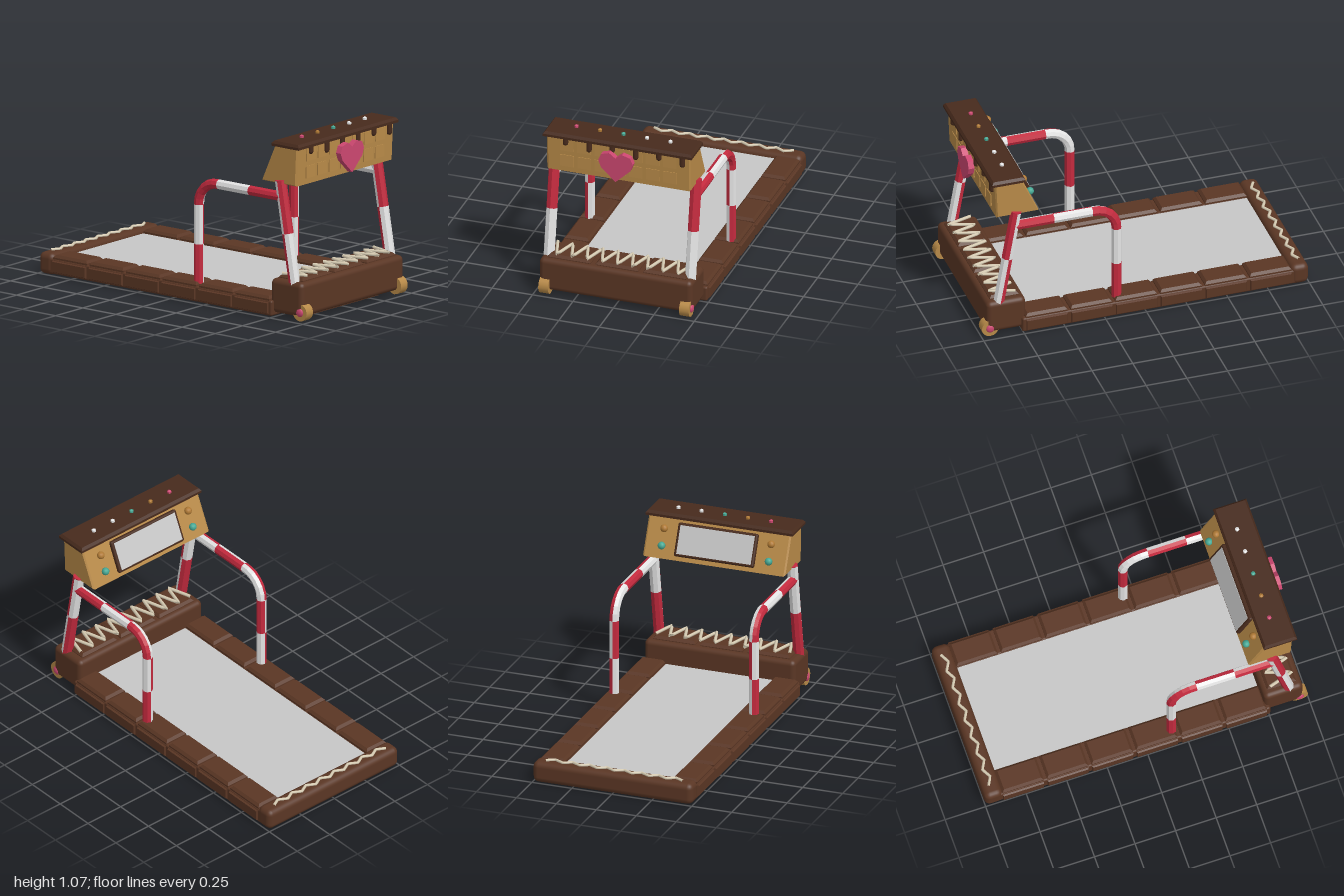
import * as THREE from 'three';
import { RoundedBoxGeometry } from 'three/addons/geometries/RoundedBoxGeometry.js';

const V = (x, y, z) => new THREE.Vector3(x, y, z);

export function createModel() {
  const root = new THREE.Group();
  root.name = 'candyTreadmill';
  const paint = (name, color) => {
    const m = new THREE.MeshStandardMaterial({ color });
    m.name = name;
    return m;
  };
  const chocolate = paint('chocolate', 0x5a3624);
  const darkChocolate = paint('dark chocolate', 0x472a1c);
  const biscuit = paint('biscuit', 0xb88a48);
  const red = paint('candy red', 0xc42a3e);
  const white = paint('candy white', 0xe4e4e4);
  const pink = paint('pink sugar', 0xcc4770);
  const teal = paint('teal sugar', 0x45a894);
  const amber = paint('amber sugar', 0xb07a35);
  const grey = paint('belt grey', 0xc6c6c6);
  const icing = paint('icing cream', 0xd8cdb4);

  const add = (name, geo, mat, x = 0, y = 0, z = 0, parent = root) => {
    const m = new THREE.Mesh(geo, mat);
    m.name = name;
    m.position.set(x, y, z);
    parent.add(m);
    return m;
  };

  // Box whose top face is drawn in by an inset, like a chocolate piece
  const piece = (w, h, d, inset) => {
    const g = new THREE.BoxGeometry(w, h, d, 1, 2, 1);
    const p = g.attributes.position;
    for (let i = 0; i < p.count; i++) {
      if (p.getY(i) < h * 0.25) continue;
      p.setX(i, p.getX(i) - Math.sign(p.getX(i)) * inset);
      p.setZ(i, p.getZ(i) - Math.sign(p.getZ(i)) * inset);
    }
    const flat = g.toNonIndexed();
    flat.computeVertexNormals();
    return flat;
  };

  // Striped candy cane: the two halves around the axis carry opposite stripes
  const cane = (name, curve, radius, rings, stripes, side, first) => {
    const sides = 8;
    const g = new THREE.TubeGeometry(curve, rings, radius, sides).toNonIndexed();
    g.computeVertexNormals();
    g.clearGroups();
    const n = g.attributes.normal;
    for (let k = 0; k < rings * sides; k++) {
      const facing = V(n.getX(k * 6), n.getY(k * 6), n.getZ(k * 6)).dot(side) > -0.01 ? 0 : 1;
      const stripe = Math.floor((Math.floor(k / sides) / rings) * stripes);
      g.addGroup(k * 6, 6, (stripe + facing + first) % 2);
    }
    return add(name, g, [red, white]);
  };

  // Zigzag of piped icing running along z
  const zigzag = (name, x, y, halfWidth, halfLength, count, radius) => {
    const pts = [];
    for (let i = 0; i <= count; i++)
      pts.push(V(x + (i % 2 ? halfWidth : -halfWidth), y, -halfLength + (2 * halfLength * i) / count));
    const curve = new THREE.CatmullRomCurve3(pts, false, 'catmullrom', 0.1);
    add(name, new THREE.TubeGeometry(curve, count * 6, radius, 6), icing);
  };

  // Deck, belt and rear bar
  add('deck', new THREE.BoxGeometry(1.7, 0.07, 0.7), chocolate, -0.09, 0.055, 0);
  add('belt', new THREE.BoxGeometry(1.64, 0.012, 0.67), grey, -0.07, 0.094, 0);
  add('rearBar', new RoundedBoxGeometry(0.11, 0.13, 1.0, 3, 0.035), chocolate, -0.945, 0.066, 0);
  zigzag('rearIcing', -0.945, 0.135, 0.014, 0.43, 16, 0.009);

  // Side rails with chocolate pieces on top and outside
  const topPiece = piece(0.255, 0.03, 0.15, 0.014);
  const sidePiece = piece(0.255, 0.02, 0.07, 0.005);
  for (const s of [1, -1]) {
    add('sideRail', new RoundedBoxGeometry(1.69, 0.092, 0.16, 2, 0.012), chocolate, -0.085, 0.056, s * 0.415);
    for (let i = 0; i < 6; i++) {
      const x = -0.765 + i * 0.275;
      add('railPiece', topPiece, chocolate, x, 0.11, s * 0.415);
      add('railSidePiece', sidePiece, chocolate, x, 0.057, s * 0.495).rotation.x = (s * Math.PI) / 2;
    }
  }

  // Motor hood, its chocolate pieces and icing
  add('motorHood', new RoundedBoxGeometry(0.24, 0.205, 0.945, 3, 0.03), chocolate, 0.85, 0.13, 0);
  add('hoodSkid', new THREE.BoxGeometry(0.16, 0.03, 0.66), chocolate, 0.81, 0.018, 0);
  for (let i = -1; i <= 1; i++)
    add('hoodPiece', piece(0.18, 0.03, 0.265, 0.014), chocolate, 0.85, 0.237, i * 0.295);
  zigzag('hoodIcing', 0.855, 0.259, 0.075, 0.42, 18, 0.01);

  for (const s of [1, -1]) {
    // Transport wheels
    const wheel = new THREE.CylinderGeometry(0.052, 0.052, 0.06, 16);
    add('wheel', wheel, biscuit, 0.948, 0.056, s * 0.435).rotation.x = Math.PI / 2;
    const hub = new THREE.SphereGeometry(0.026, 12, 8);
    add('wheelHub', hub, pink, 0.948, 0.056, s * 0.465).scale.z = 0.5;

    // Uprights
    const low = V(0.89, 0.2, s * 0.437), high = V(0.782, 0.82, s * 0.437);
    cane('upright', new THREE.LineCurve3(low, high), 0.034, 10, 2, V(0.94, 0.16, s * 0.3), 1);
    const cap = add('uprightCap', new THREE.CylinderGeometry(0.034, 0.034, 0.006, 8), red, high.x, high.y, high.z);
    cap.rotation.z = Math.atan2(0.108, 0.62);

    // Handrails
    const z = s * 0.437;
    const path = new THREE.CurvePath();
    path.add(new THREE.LineCurve3(V(0.165, 0.11, z), V(0.165, 0.59, z)));
    path.add(new THREE.CubicBezierCurve3(V(0.165, 0.59, z), V(0.165, 0.665, z), V(0.225, 0.725, z), V(0.3, 0.725, z)));
    path.add(new THREE.LineCurve3(V(0.3, 0.725, z), V(0.79, 0.725, z)));
    cane('handrail', path, 0.03, 30, 5, V(0, 0, s), 0);
  }

  // Console body with sloping panel
  const profile = new THREE.Shape();
  profile.moveTo(0.65, 0.808);
  profile.lineTo(0.895, 0.808);
  profile.lineTo(0.905, 1.025);
  profile.lineTo(0.75, 1.025);
  profile.closePath();
  const bodyGeo = new THREE.ExtrudeGeometry(profile, {
    depth: 0.87, bevelEnabled: true, bevelSize: 0.008, bevelThickness: 0.01, bevelSegments: 1,
  });
  add('consoleBody', bodyGeo, biscuit, 0, 0, -0.435);
  add('consoleLid', piece(0.205, 0.03, 0.92, 0.012), darkChocolate, 0.832, 1.04, 0);

  // Waffle squares and chocolate drips on the outer face
  for (let c = -3; c <= 3; c++)
    for (const y of [0.873, 0.977])
      add('waffleSquare', new THREE.BoxGeometry(0.009, 0.074, 0.083), biscuit, 0.907 + (y - 0.873) * 0.045, y, c * 0.106);
  [0.325, 0.18, 0.037, -0.108, -0.252, -0.397].forEach((z, i) => {
    const len = i % 2 ? 0.05 : 0.03;
    add('chocolateDrip', new THREE.CapsuleGeometry(0.017, len, 3, 8), darkChocolate, 0.916, 1.03 - len / 2 - 0.005, z);
  });

  // Heart
  const half = [[0.04, 1.0], [0.09, 0.985], [0.107, 0.945], [0.09, 0.9]];
  const heart = new THREE.Shape();
  heart.moveTo(0, 0.815);
  [...half].reverse().forEach(([x, y]) => heart.lineTo(x, y));
  heart.lineTo(0, 0.97);
  half.forEach(([x, y]) => heart.lineTo(-x, y));
  heart.closePath();
  const heartGeo = new THREE.ExtrudeGeometry(heart, { depth: 0.036, bevelEnabled: false });
  add('heart', heartGeo, pink, 0.928, 0, 0).rotation.y = Math.PI / 2;
  const dab = new THREE.CylinderGeometry(0.045, 0.045, 0.03, 10);
  add('heartIcing', dab, white, 0.917, 0.9, 0).rotation.z = Math.PI / 2;

  // Screen and buttons on the sloping panel
  const panel = new THREE.Group();
  panel.name = 'controlPanel';
  panel.position.set(0.69, 0.917, 0);
  panel.rotation.z = -Math.atan2(0.1, 0.217);
  root.add(panel);
  add('screenFrame', new RoundedBoxGeometry(0.03, 0.2, 0.5, 2, 0.012), darkChocolate, -0.005, 0, 0, panel);
  add('screen', new THREE.BoxGeometry(0.006, 0.17, 0.465), grey, -0.02, 0, 0, panel);
  const button = new THREE.SphereGeometry(0.023, 12, 8);
  for (const s of [1, -1]) {
    add('lowerButton', button, teal, -0.008, -0.05, s * 0.335, panel);
    add('upperButton', button, amber, -0.008, 0.052, s * 0.335, panel);
  }

  // Sugar drops on the lid
  [white, white, teal, amber, pink].forEach((mat, i) => {
    const z = (i - 2) * 0.145;
    add('sugarDrop', new THREE.CylinderGeometry(0.013, 0.013, 0.014, 6), mat, 0.82, 1.06, z);
    add('sugarDropTip', new THREE.ConeGeometry(0.013, 0.008, 6), mat, 0.82, 1.071, z);
  });

  return root;
}
